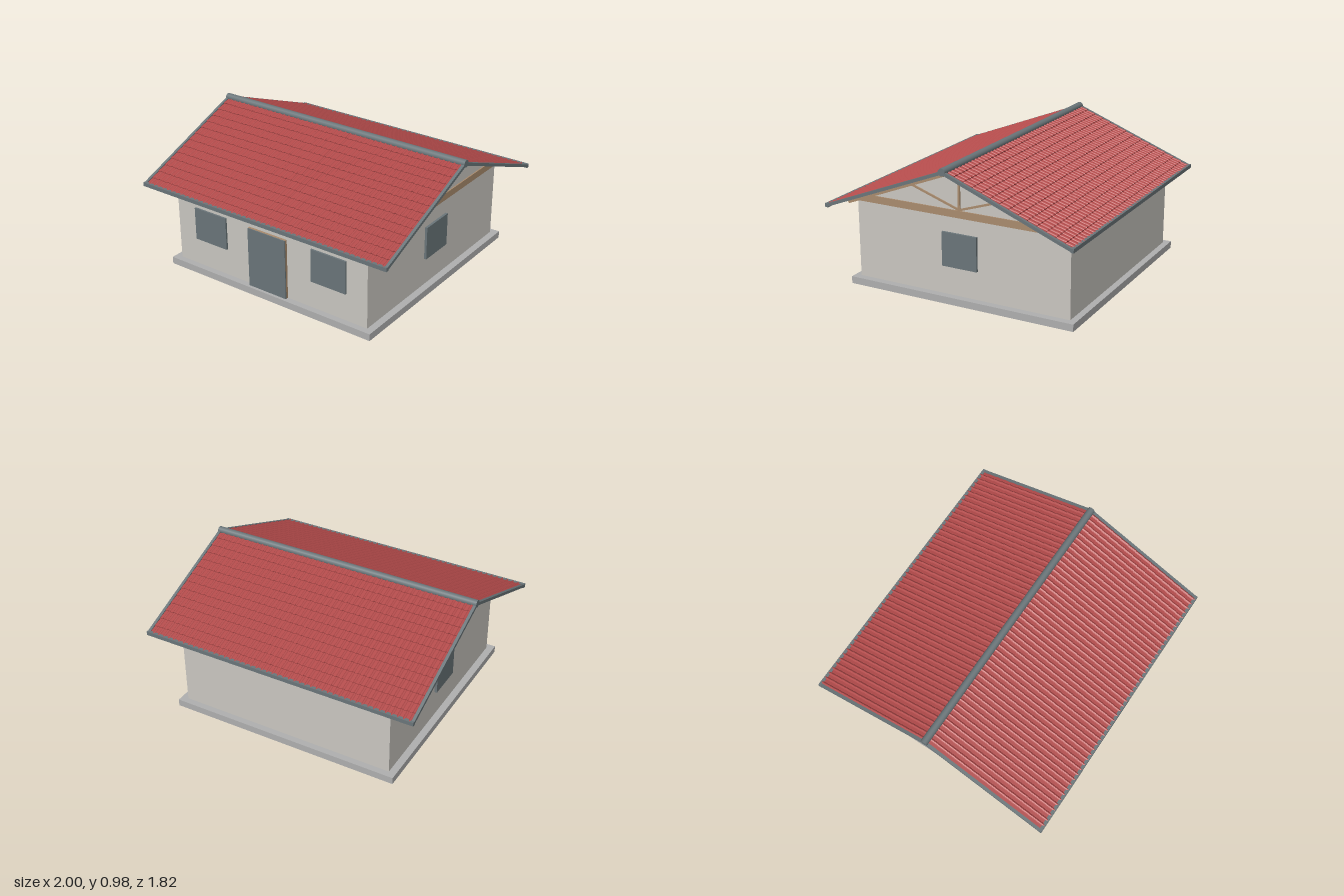
import * as THREE from 'three';

const mat = (name, color) => {
  const m = new THREE.MeshStandardMaterial({ color });
  m.name = name;
  return m;
};

export function createModel() {
  const house = new THREE.Group();
  house.name = 'house';
  const wall = mat('plaster', 0xcbc8c2);
  const concrete = mat('concrete', 0xb0b0b0);
  const tile = mat('red tile', 0xb24a4a);
  const slate = mat('slate grey', 0x6b767a);
  const wood = mat('timber', 0xaa8c6e);
  const felt = mat('roof underlay', 0x2c2c2c);

  // Box given by its lower and upper corners
  const box = (parent, name, m, x0, x1, y0, y1, z0, z1) => {
    const mesh = new THREE.Mesh(new THREE.BoxGeometry(x1 - x0, y1 - y0, z1 - z0), m);
    mesh.position.set((x0 + x1) / 2, (y0 + y1) / 2, (z0 + z1) / 2);
    mesh.name = name;
    parent.add(mesh);
    return mesh;
  };

  const ridgeY = 0.94;                    // top line of the rafters
  const pitch = Math.atan(0.392);
  const slopeLength = 0.895 / Math.cos(pitch);

  // Foundation and walls with gables
  box(house, 'foundation', concrete, -0.84, 0.84, 0, 0.05, -0.84, 0.84);
  const section = new THREE.Shape([[-0.795, 0.05], [0.795, 0.05], [0.795, 0.61], [0, 0.925], [-0.795, 0.61]]
    .map(([z, y]) => new THREE.Vector2(z, y)));
  const bodyGeo = new THREE.ExtrudeGeometry(section, { depth: 1.58, bevelEnabled: false });
  bodyGeo.translate(0, 0, -0.79).rotateY(Math.PI / 2);
  const body = new THREE.Mesh(bodyGeo, wall);
  body.name = 'walls';
  house.add(body);

  // Door and windows
  box(house, 'doorFrame', wood, -0.155, 0.155, 0.05, 0.485, 0.79, 0.812);
  box(house, 'doorPanel', slate, -0.155, 0.155, 0.05, 0.485, 0.812, 0.819);
  for (const s of [-1, 1]) {
    const c = s * 0.4925;
    box(house, 'frontWindow', slate, c - 0.137, c + 0.137, 0.25, 0.487, 0.79, 0.808);
    const w = box(house, 'sideWindow', slate, -0.01, 0.01, 0.25, 0.487, -0.13, 0.13);
    w.position.x = s * 0.797;
    // Plates along the top of the walls
    const p = box(house, 'gablePlate', wood, -0.008, 0.008, 0.595, 0.615, -0.785, 0.785);
    p.position.x = s * 0.79;
  }

  // Roof trusses
  const strut = (parent, z0, y0, z1, y1, t) => {
    const len = Math.hypot(z1 - z0, y1 - y0);
    const m = new THREE.Mesh(new THREE.BoxGeometry(0.016, t, len), wood);
    m.position.set(0, (y0 + y1) / 2, (z0 + z1) / 2);
    m.rotation.x = -Math.atan2(y1 - y0, z1 - z0);
    m.name = 'strut';
    parent.add(m);
  };
  for (let i = 0; i < 6; i++) {
    const truss = new THREE.Group();
    truss.name = 'truss';
    truss.position.x = -0.79 + i * 0.316;
    box(truss, 'bottomChord', wood, -0.009, 0.009, 0.615, 0.645, -0.725, 0.725);
    box(truss, 'kingPost', wood, -0.009, 0.009, 0.64, 0.92, -0.008, 0.008);
    for (const s of [-1, 1]) {
      strut(truss, 0, 0.65, s * 0.375, 0.775, 0.014);
      const pivot = new THREE.Group();
      pivot.position.y = ridgeY;
      pivot.rotation.set(pitch, s > 0 ? 0 : Math.PI, 0, 'YXZ');
      box(pivot, 'rafter', wood, -0.009, 0.009, -0.036, 0, 0, 0.945);
      truss.add(pivot);
    }
    house.add(truss);
  }

  // One course of rolled tiles: flat pans with a raised roll at each joint
  const columns = 48, rows = 14, halfWidth = 0.98;
  const step = 2 * halfWidth / columns;
  const roll = [[0, 0.005], [0.5, 0.005], [0.6, 0.009], [0.75, 0.012], [0.9, 0.009]];
  const pts = [new THREE.Vector2(halfWidth, 0), new THREE.Vector2(-halfWidth, 0)];
  for (let c = 0; c < columns; c++)
    for (const [u, h] of roll) pts.push(new THREE.Vector2(-halfWidth + (c + u) * step, h));
  pts.push(new THREE.Vector2(halfWidth, 0.005));
  const rowLength = slopeLength / rows;
  const courseGeo = new THREE.ExtrudeGeometry(new THREE.Shape(pts.reverse()),
    { depth: rowLength + 0.004, bevelEnabled: false });

  // Two mirrored slopes, each in its own tilted frame
  for (const turn of [0, Math.PI]) {
    const slope = new THREE.Group();
    slope.name = 'roofSlope';
    slope.position.y = ridgeY;
    slope.rotation.set(pitch, turn, 0, 'YXZ');
    for (let i = 0; i < 8; i++) {
      const v = 0.03 + i * 0.128;
      box(slope, 'batten', wood, -0.98, 0.98, 0, 0.007, v - 0.006, v + 0.006);
    }
    box(slope, 'underlay', felt, -0.985, 0.985, 0.007, 0.011, 0, slopeLength);
    for (let r = 0; r < rows; r++) {
      const course = new THREE.Mesh(courseGeo, tile);
      course.name = 'tileCourse';
      course.position.set(0, 0.009, r * rowLength);
      course.rotation.x = -Math.atan(0.007 / rowLength);
      slope.add(course);
    }
    for (const s of [-1, 1]) {
      const verge = box(slope, 'vergeTrim', slate, -0.01, 0.01, 0.002, 0.023, 0, slopeLength);
      verge.position.x = s * 0.99;
    }
    house.add(slope);
  }

  // Eave trims and ridge cap
  for (const s of [-1, 1]) {
    const eave = box(house, 'eaveTrim', slate, -1, 1, 0.588, 0.615, -0.011, 0.011);
    eave.position.z = s * 0.899;
  }
  const cap = new THREE.Mesh(new THREE.CylinderGeometry(0.026, 0.026, 2, 16), slate);
  cap.rotation.z = Math.PI / 2;
  cap.position.y = 0.956;
  cap.name = 'ridgeCap';
  house.add(cap);

  return house;
}
